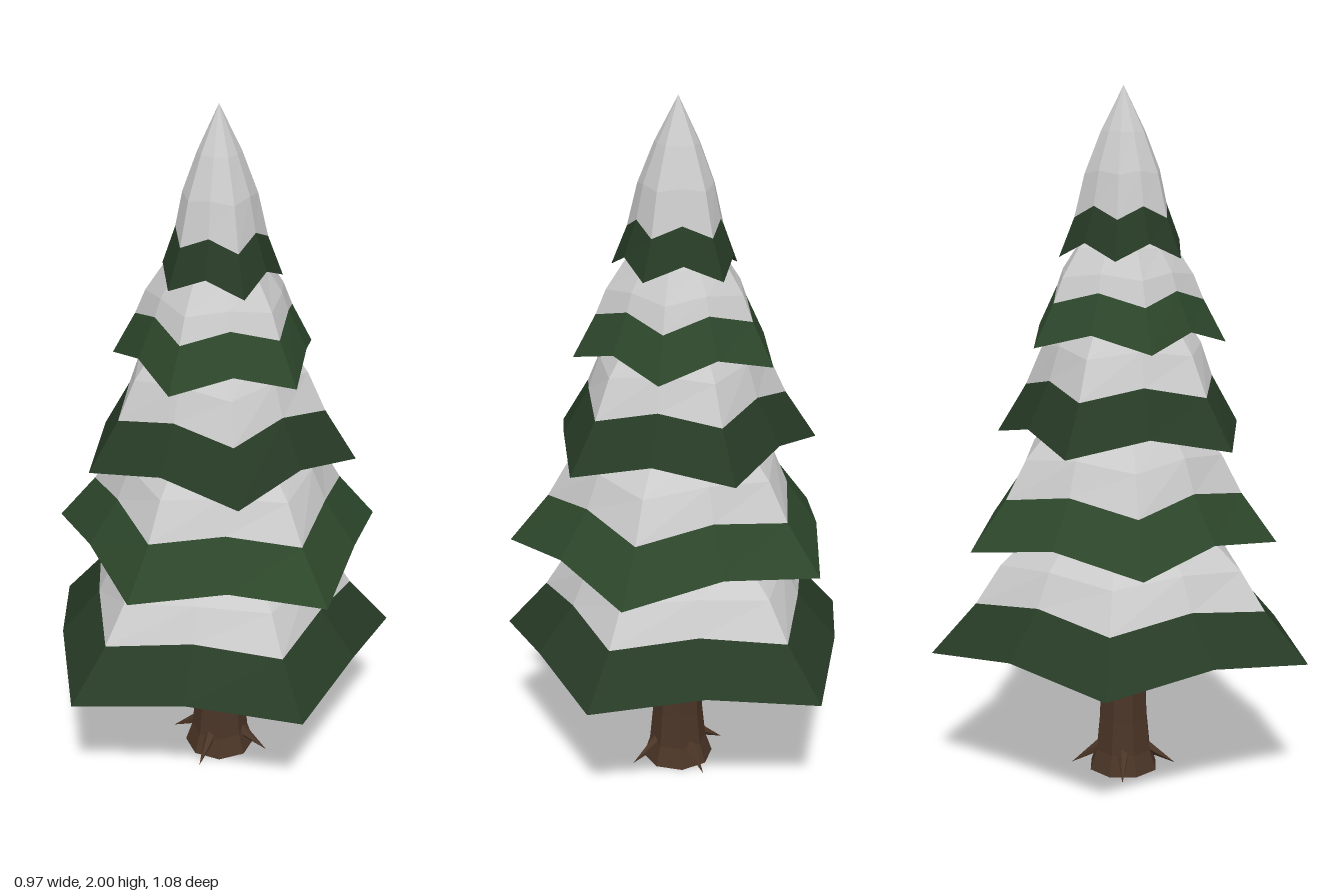
import * as THREE from 'three';

const AXIS = { x: 0.035, z: 0.01 }; // the crown line, slightly off centre

const material = (color) => new THREE.MeshStandardMaterial({ color, flatShading: true, side: THREE.DoubleSide });

// Joins closed rings of points into a faceted surface
function loft(rings) {
  const pos = [];
  const tri = (a, b, c) => pos.push(...a, ...b, ...c);
  for (let r = 0; r < rings.length - 1; r++) {
    const lo = rings[r], hi = rings[r + 1], n = lo.length;
    for (let i = 0; i < n; i++) {
      const j = (i + 1) % n;
      tri(lo[i], hi[i], lo[j]);
      tri(lo[j], hi[i], hi[j]);
    }
  }
  const geo = new THREE.BufferGeometry();
  geo.setAttribute('position', new THREE.Float32BufferAttribute(pos, 3));
  geo.computeVertexNormals();
  return geo;
}

// Scales a five-tipped outline about the axis; edge middles bulge and lift
function starRing(tips, scale, y, bulge, lift) {
  const ring = [];
  tips.forEach(([x, z], i) => {
    const [nx, nz] = tips[(i + 1) % tips.length];
    const at = (px, pz, s, h) => ring.push([AXIS.x + (px - AXIS.x) * s, h, AXIS.z + (pz - AXIS.z) * s]);
    at(x, z, scale, y);
    at((x + nx) / 2, (z + nz) / 2, scale * bulge, y + lift);
  });
  return ring;
}

// Snow profiles: [scale, height above tips, bulge, lift]
const snowCurve = [[0.77, 0.14, 1.03, 0.035], [0.64, 0.25, 1.08, 0.02], [0.47, 0.34, 1.12, 0.01], [0.15, 0.46, 1.15, 0]];
const upperCurve = [[0.78, 0.12, 1.03, 0.035], [0.68, 0.19, 1.07, 0.015], [0.5, 0.27, 1.1, 0], [0.22, 0.35, 1.1, 0]];
const peakCurve = [[0.76, 0.11, 1.06, 0.035], [0.6, 0.23, 1.12, 0.01], [0.35, 0.345, 1.15, 0], [0, 0.47, 1, 0]];

const DARK = 0x273b26, LIGHT = 0x2d472b;
const tiers = [
  { y: 0.4, color: DARK, bulge: 1.045, curve: snowCurve,
    tips: [[-0.1, -0.54], [0.48, -0.26], [0.44, 0.35], [-0.18, 0.535], [-0.49, -0.03]] },
  { y: 0.72, color: LIGHT, bulge: 1.02, curve: snowCurve,
    tips: [[-0.45, 0.07], [-0.17, -0.415], [0.4, -0.32], [0.465, 0.25], [-0.04, 0.45]] },
  { y: 1.02, color: DARK, bulge: 1.02, curve: snowCurve,
    tips: [[0.07, -0.355], [0.42, -0.07], [0.24, 0.345], [-0.22, 0.31], [-0.33, -0.14]] },
  { y: 1.29, color: LIGHT, bulge: 1.02, curve: upperCurve,
    tips: [[-0.12, -0.235], [0.225, -0.215], [0.31, 0.12], [0.02, 0.3], [-0.25, 0.09]] },
  { y: 1.53, color: DARK, bulge: 1.05, curve: peakCurve,
    tips: [[0, -0.17], [0.19, -0.07], [0.17, 0.15], [-0.04, 0.17], [-0.14, -0.01]] },
];

function makeTier({ y, color, bulge, curve, tips }, index) {
  const tier = new THREE.Group();
  tier.name = `branchTier${index + 1}`;
  const snowRings = curve.map(([s, h, b, lift]) => starRing(tips, s, y + h, b, lift));

  // Needle skirt: hollow underside plus sloping band
  const needles = new THREE.Mesh(
    loft([starRing(tips, 0, y + 0.1, 1, 0), starRing(tips, 1, y, bulge, 0.045), snowRings[0]]),
    material(color));
  needles.name = 'needles';

  // Snow cap above the band
  const snow = new THREE.Mesh(loft(snowRings), material(0xcccccc));
  snow.name = 'snow';
  tier.add(needles, snow);
  return tier;
}

function makeTrunk() {
  const group = new THREE.Group();
  group.name = 'trunk';
  group.position.set(AXIS.x + 0.01, 0, AXIS.z);
  const bark = material(0x4b3527);

  // Flared stem
  const sides = 8;
  const ring = (r, y) => Array.from({ length: sides }, (_, i) => {
    const a = ((i + 0.5) / sides) * Math.PI * 2;
    return [Math.cos(a) * r, y, Math.sin(a) * r];
  });
  const stem = new THREE.Mesh(
    loft([ring(0, 0), ring(0.105, 0), ring(0.085, 0.06), ring(0.075, 0.16), ring(0.062, 0.52), ring(0, 0.52)]), bark);
  stem.name = 'stem';
  group.add(stem);

  // Four pointed roots
  for (let i = 0; i < 4; i++) {
    const holder = new THREE.Group();
    holder.name = 'root';
    const root = new THREE.Mesh(new THREE.ConeGeometry(0.024, 0.13, 5), bark);
    root.position.set(0.1, 0.042, 0);
    root.rotation.z = -Math.PI / 2 - 0.56;
    holder.add(root);
    holder.rotation.y = (i * Math.PI) / 2;
    group.add(holder);
  }
  return group;
}

export function createModel() {
  const tree = new THREE.Group();
  tree.name = 'snowyTree';
  tree.add(makeTrunk(), ...tiers.map(makeTier));
  return tree;
}
